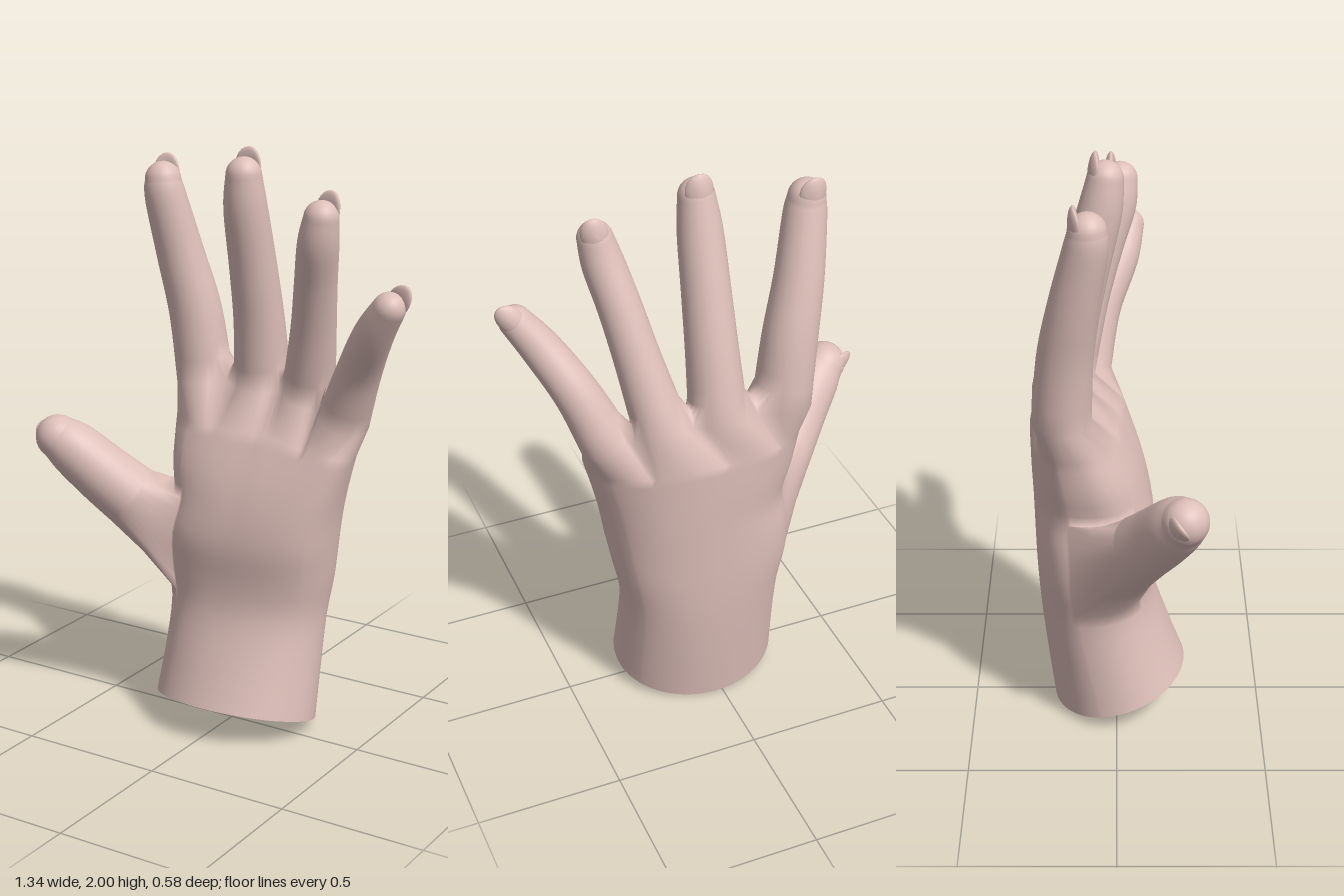
import * as THREE from 'three';
import { mergeVertices } from 'three/addons/utils/BufferGeometryUtils.js';

const V = (x, y, z) => new THREE.Vector3(x, y, z);
const rad = THREE.MathUtils.degToRad;
const SIDES = 32;  // points round each digit
const WEB = 3;     // half the points of a digit's side that form a web
const COLS = 92;   // points round the palm: 40 front, 6 right, 40 back, 6 left

// Catmull-Rom resampling of stations (arrays of numbers)
function resample(st, steps) {
  const out = [];
  const at = i => st[Math.min(Math.max(i, 0), st.length - 1)];
  for (let i = 0; i < st.length - 1; i++) {
    for (let s = 0; s < steps; s++) {
      const t = s / steps;
      out.push(st[i].map((_, k) => {
        const [a, b, c, d] = [at(i - 1)[k], at(i)[k], at(i + 1)[k], at(i + 2)[k]];
        return b + 0.5 * t * (c - a + t * (2 * a - 5 * b + 4 * c - d + t * (3 * (b - c) + d - a)));
      }));
    }
  }
  out.push(st[st.length - 1]);
  return out;
}

// Band of triangles between two closed rings; skip leaves a hole
function band(tris, a, b, skip = () => false) {
  a.forEach((p, i) => {
    const n = (i + 1) % a.length;
    if (!skip(i)) tris.push(p, a[n], b[n], p, b[n], b[i]);
  });
}

// Digit rings from stations of x, y, z, radius; back is the way the nail faces
function digit({ stations, back }) {
  const pts = resample(stations, 5);
  const centre = pts.map(p => V(p[0], p[1], p[2]));
  const frame = j => {
    const T = centre[Math.min(j + 1, centre.length - 1)].clone()
      .sub(centre[Math.max(j - 1, 0)]).normalize();
    const S = back.clone().cross(T).normalize();
    return { T, S, B: T.clone().cross(S) };
  };
  const ring = (c, { S, B }, r) => Array.from({ length: SIDES }, (_, i) => {
    const a = i / SIDES * Math.PI * 2;
    return c.clone().addScaledVector(S, r * Math.cos(a)).addScaledVector(B, r * Math.sin(a));
  });
  const rings = pts.map((p, j) => ring(centre[j], frame(j), p[3]));
  // rounded fingertip
  const tip = centre[centre.length - 1], f = frame(centre.length - 1);
  const r = pts[pts.length - 1][3];
  for (let k = 1; k < 7; k++) {
    const a = k / 7 * Math.PI / 2;
    rings.push(ring(tip.clone().addScaledVector(f.T, r * Math.sin(a)), f, r * Math.cos(a)));
  }
  return { rings, tip, f, r, end: tip.clone().addScaledVector(f.T, r) };
}

function addDigit(tris, rings, end) {
  for (let j = 0; j < rings.length - 1; j++) band(tris, rings[j], rings[j + 1]);
  const last = rings[rings.length - 1];
  last.forEach((p, i) => tris.push(p, last[(i + 1) % SIDES], end));
}

// Thin curved nail reaching just past the tip
function nailMesh({ tip, f, r }, width, material) {
  const g = new THREE.SphereGeometry(1, 20, 14);
  g.scale(width, 0.016, 0.058);
  const p = g.attributes.position;
  for (let i = 0; i < p.count; i++) p.setY(i, p.getY(i) - 6 * p.getX(i) ** 2);
  g.computeVertexNormals();
  // local x across, y out of the nail, z towards the tip
  g.applyMatrix4(new THREE.Matrix4().makeBasis(f.S.clone().negate(), f.B, f.T));
  const nail = new THREE.Mesh(g, material);
  nail.position.copy(tip).addScaledVector(f.T, 0.027).addScaledVector(f.B, r * 0.72);
  return nail;
}

// Wrist and palm rings: y, left x, right x, front z, back z, tilt, squareness
function palmRings() {
  const stations = [
    [0.065, -0.27, 0.315, 0.24, -0.22, 0.283, 2],
    [0.25, -0.26, 0.312, 0.18, -0.245, 0.2, 2.05],
    [0.42, -0.257, 0.312, 0.13, -0.265, 0.1, 2.2],
    [0.55, -0.28, 0.335, 0.122, -0.275, 0, 2.35],
    [0.68, -0.28, 0.355, 0.13, -0.28, 0, 2.4],
    [0.8, -0.255, 0.372, 0.11, -0.285, 0, 2.4],
    [0.92, -0.28, 0.397, 0.07, -0.29, 0, 2.4],
    [1.05, -0.295, 0.43, 0.005, -0.293, 0, 2.4],
  ];
  const angle = i => rad(i < 40 ? -45 + i * 105 / 40 : i < 46 ? 60 + (i - 40) * 10
    : i < 86 ? 120 + (i - 46) * 135 / 40 : 255 + (i - 86) * 10);
  return resample(stations, 3).map(([y, xl, xr, zf, zb, tilt, n]) =>
    Array.from({ length: COLS }, (_, i) => {
      const c = Math.cos(angle(i)), s = Math.sin(angle(i));
      const x = (xl + xr) / 2 + (xr - xl) / 2 * Math.sign(s) * Math.abs(s) ** (2 / n);
      const z = (zf + zb) / 2 + (zf - zb) / 2 * Math.sign(c) * Math.abs(c) ** (2 / n);
      // arch the little-finger side forward and down
      const k = THREE.MathUtils.smoothstep(y, 0.4, 1.1);
      return V(x, y + tilt * z - 0.15 * k * Math.max(0, x - 0.14),
        z + 0.6 * k * Math.max(0, x - 0.05) ** 2);
    }));
}

// Four fingers grow out of the palm's top edge, with webs shared by neighbours
function addFingers(tris, fingers, palmTop) {
  const webHeights = [1.232, 1.235, 1.185];
  const loops = fingers.map(d => d.rings[0]);
  webHeights.forEach((h, k) => {
    for (let j = -WEB; j <= WEB; j++) {
      const i = (j + SIDES) % SIDES, m = SIDES / 2 - j;
      const p = loops[k][i].clone().add(loops[k + 1][m]).multiplyScalar(0.5);
      p.y = h - 0.05 * (j / WEB) ** 2;
      loops[k][i] = loops[k + 1][m] = p;
    }
  });
  const outline = [];
  const take = (k, from, to) => {
    for (let i = from; i < to; i++) outline.push(loops[k][i % SIDES]);
  };
  const half = SIDES / 2;
  for (let k = 0; k < 4; k++) take(k, half + WEB, SIDES - WEB);
  take(3, SIDES - WEB, SIDES + WEB);
  for (let k = 3; k >= 0; k--) take(k, WEB, half - WEB);
  take(0, half - WEB, half + WEB);
  band(tris, palmTop, outline);
  fingers.forEach((d, k) => addDigit(tris, [loops[k], ...d.rings.slice(2)], d.end));
}

// The thumb grows out of an opening 8 rows by 8 columns in the side of the palm
function addThumb(tris, thumb, palm, row, col) {
  const hole = [], at = (r, c) => palm[row + r][(col + c) % COLS];
  for (let i = 0; i < 8; i++) hole.push(at(0, i));
  for (let i = 0; i < 8; i++) hole.push(at(i, 8));
  for (let i = 8; i > 0; i--) hole.push(at(8, i));
  for (let i = 8; i > 0; i--) hole.push(at(i, 0));
  // turn the opening's points to line up with the first thumb ring
  const turned = s => hole.map((_, i) => hole[(i + s) % SIDES]);
  const cost = h => h.reduce((sum, p, i) => sum + p.distanceToSquared(thumb.rings[0][i]), 0);
  const start = hole.map((_, s) => turned(s)).sort((a, b) => cost(a) - cost(b))[0];
  // slightly waisted ring rounds the crook of the thumb
  const mid = start.map((p, i) => p.clone().lerp(thumb.rings[0][i], 0.5));
  const c = mid.reduce((sum, p) => sum.add(p), V(0, 0, 0)).divideScalar(SIDES);
  mid.forEach(p => p.lerp(c, 0.06));
  addDigit(tris, [start, mid, ...thumb.rings], thumb.end);
}

export function createModel() {
  const hand = new THREE.Group();
  hand.name = 'hand';
  const skin = new THREE.MeshStandardMaterial({ color: 0xdebfb9, side: THREE.DoubleSide });
  skin.name = 'skin';

  const specs = [
    { name: 'indexFinger', back: V(-0.1, 0, -1), nail: 0.048, stations: [
      [-0.222, 1.17, -0.178, 0.098], [-0.25, 1.4, -0.165, 0.092], [-0.29, 1.6, -0.135, 0.082],
      [-0.323, 1.8, -0.095, 0.071], [-0.33, 1.86, -0.09, 0.062]] },
    { name: 'middleFinger', back: V(0, 0, -1), nail: 0.048, stations: [
      [0.008, 1.18, -0.185, 0.098], [0.015, 1.4, -0.15, 0.087], [0.017, 1.6, -0.105, 0.08],
      [0.018, 1.8, -0.055, 0.073], [0.022, 1.91, -0.037, 0.06]] },
    { name: 'ringFinger', back: V(0.15, 0, -1), nail: 0.045, stations: [
      [0.2, 1.17, -0.165, 0.092], [0.25, 1.4, -0.105, 0.077], [0.288, 1.58, -0.05, 0.071],
      [0.322, 1.72, -0.002, 0.068], [0.34, 1.805, 0.012, 0.058]] },
    { name: 'littleFinger', back: V(0.2, 0, -1), nail: 0.042, stations: [
      [0.368, 1.12, -0.105, 0.088], [0.445, 1.3, -0.06, 0.075], [0.532, 1.45, 0.01, 0.066],
      [0.602, 1.55, 0.042, 0.054]] },
    { name: 'thumb', back: V(-0.7, -0.2, -0.6), nail: 0.048, stations: [
      [-0.36, 0.785, 0.085, 0.112], [-0.43, 0.86, 0.135, 0.105],
      [-0.52, 0.955, 0.19, 0.094], [-0.57, 0.995, 0.213, 0.077]] },
  ];
  const digits = specs.map(digit);
  const palm = palmRings();
  const tris = [], row = 7, col = 85;
  for (let j = 0; j < palm.length - 1; j++) {
    const beside = j >= row && j < row + 8;
    band(tris, palm[j], palm[j + 1], i => beside && (i - col + COLS) % COLS < 8);
  }
  addFingers(tris, digits.slice(0, 4), palm[palm.length - 1]);
  addThumb(tris, digits[4], palm, row, col);

  // one continuous smooth skin
  const geometry = mergeVertices(new THREE.BufferGeometry().setFromPoints(tris), 1e-5);
  geometry.computeVertexNormals();
  const body = new THREE.Mesh(geometry, skin);
  body.name = 'palmAndDigits';
  hand.add(body);

  digits.forEach((d, k) => {
    const nail = nailMesh(d, specs[k].nail, skin);
    nail.name = specs[k].name + 'Nail';
    hand.add(nail);
  });
  return hand;
}
